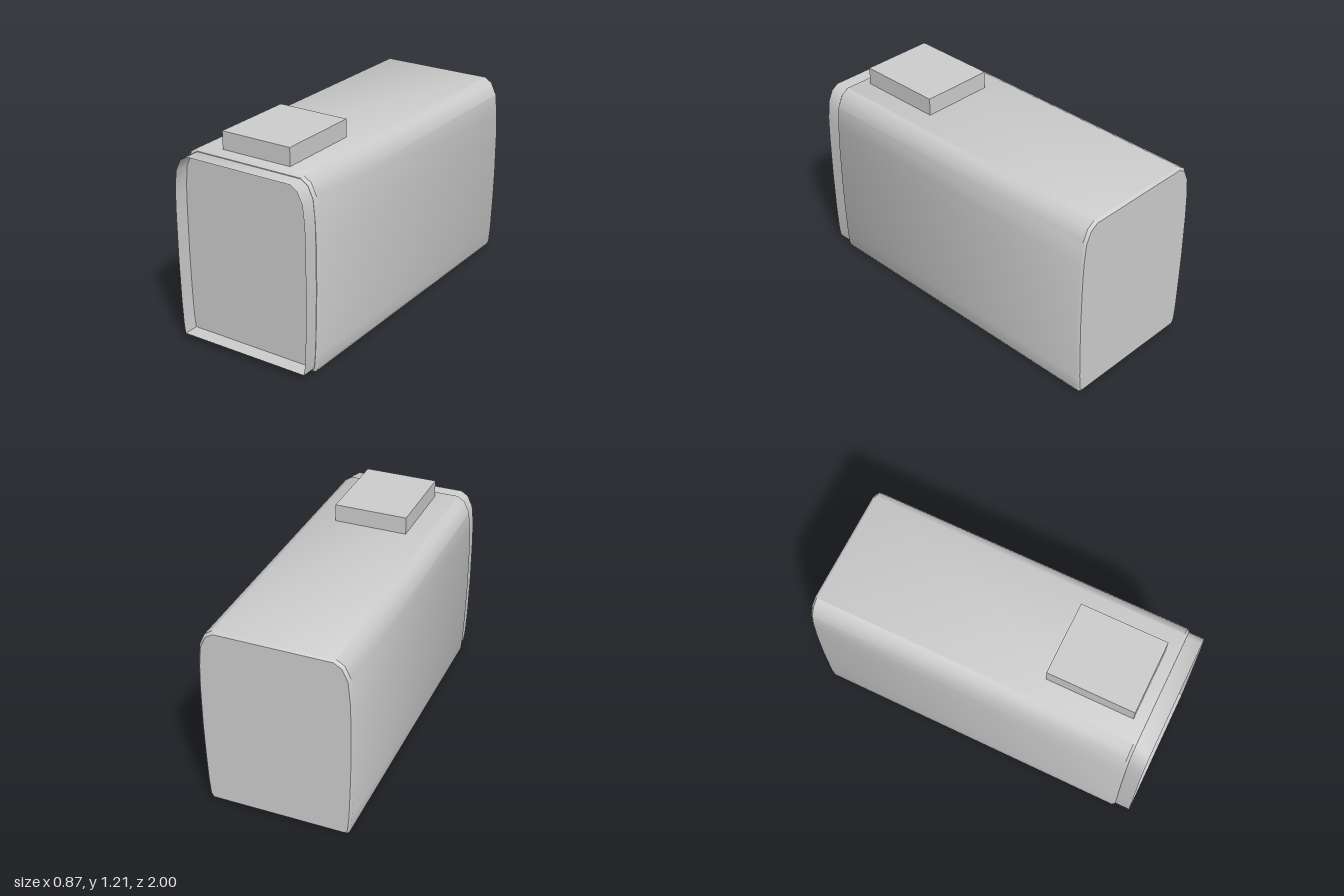
import * as THREE from 'three';
import { toCreasedNormals } from 'three/addons/utils/BufferGeometryUtils.js';

// Right half of a cross-section, bottom to top, mirrored into a closed loop
const mirror = (half) => [...half, ...half.map(([x, y]) => [-x, y]).reverse()];

const bodyProfile = mirror([
  [0.4, 0.005], [0.415, 0.03], [0.423, 0.12], [0.43, 0.3], [0.435, 0.5],
  [0.435, 0.75], [0.43, 0.89], [0.418, 1.01], [0.385, 1.08], [0.34, 1.108],
]);
const lipProfile = mirror([
  [0.4, 0.035], [0.408, 0.1], [0.415, 0.25], [0.42, 0.5], [0.42, 0.75],
  [0.417, 0.89], [0.405, 1.0], [0.374, 1.065], [0.333, 1.092],
]);

// Loft a profile through [z, inset] stations, optionally closing both ends
function loft(profile, stations, capped) {
  const n = profile.length;
  const pos = [];
  const index = [];
  for (const [z, inset] of stations) {
    const sx = 1 - inset / 0.435;
    const sy = 1 - inset / 0.55;
    for (const [x, y] of profile) pos.push(x * sx, 0.555 + (y - 0.555) * sy, z);
  }
  for (let k = 0; k < stations.length - 1; k++) {
    for (let i = 0; i < n; i++) {
      const j = (i + 1) % n;
      const a = k * n + i, b = k * n + j;
      index.push(a, b, b + n, a, b + n, a + n);
    }
  }
  if (capped) {
    const last = (stations.length - 1) * n;
    for (let i = 1; i < n - 1; i++) {
      index.push(0, i + 1, i);
      index.push(last, last + i, last + i + 1);
    }
  }
  const geo = new THREE.BufferGeometry();
  geo.setAttribute('position', new THREE.Float32BufferAttribute(pos, 3));
  geo.setIndex(index);
  return toCreasedNormals(geo, 0.7);
}

export function createModel() {
  const group = new THREE.Group();
  const grey = new THREE.MeshStandardMaterial({ color: 0xcccccc, side: THREE.DoubleSide });
  grey.name = 'light grey';

  const add = (name, geo) => {
    const mesh = new THREE.Mesh(geo, grey);
    mesh.name = name;
    group.add(mesh);
    return mesh;
  };

  // Long rounded housing with small bevels at both ends
  add('body', loft(bodyProfile, [[-1, 0.012], [-0.985, 0], [0.895, 0], [0.91, 0.012]], true));

  // Open lip around the recessed front face
  add('frontLip', loft(lipProfile, [[0.905, 0], [1, 0]], false));

  // Raised block on the roof
  add('topBlock', new THREE.BoxGeometry(0.432, 0.11, 0.508)).position.set(0, 1.156, 0.586);

  return group;
}
